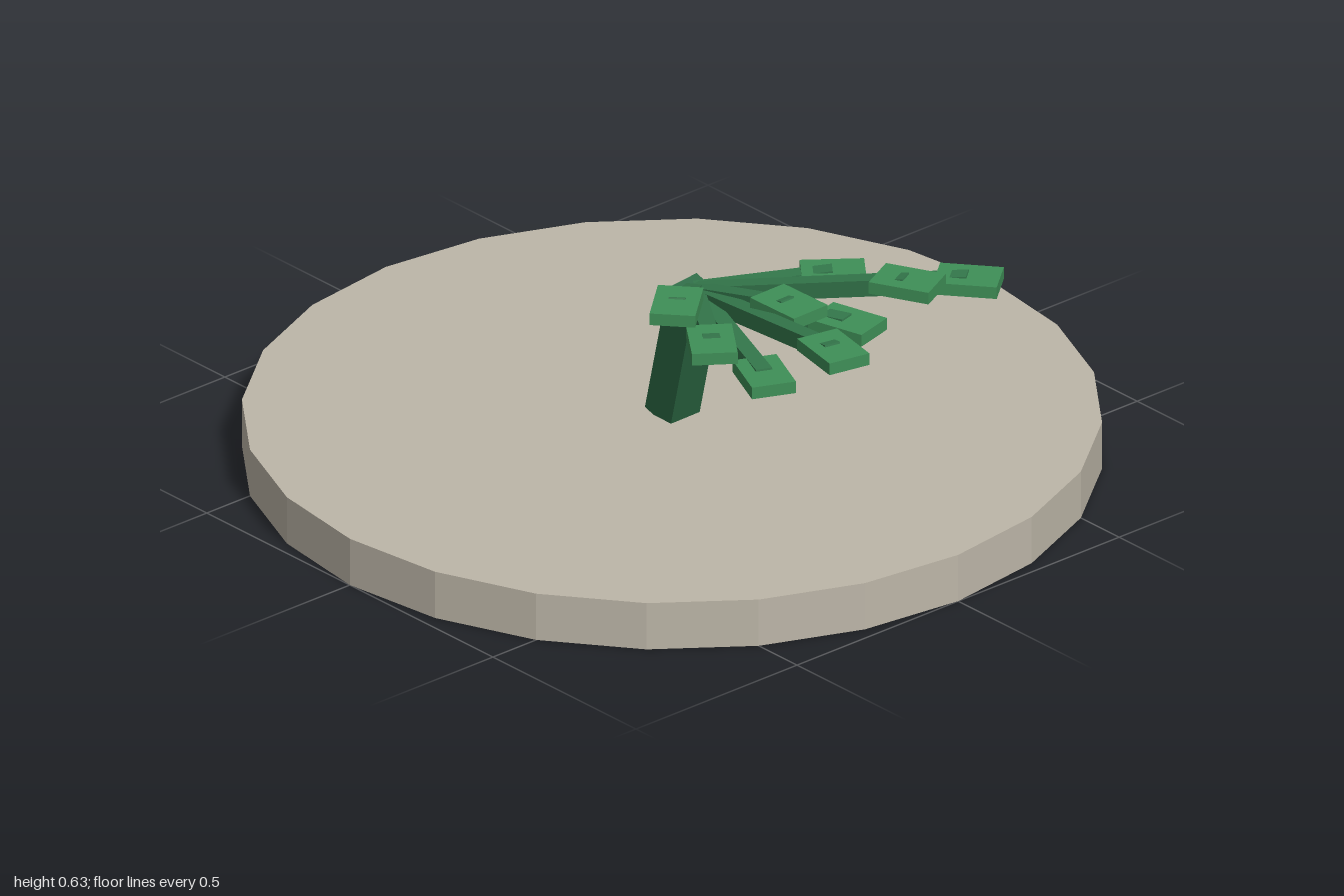
import * as THREE from 'three';

const paint = (color, side = THREE.FrontSide) =>
  new THREE.MeshStandardMaterial({ color, side, flatShading: true });

function addPart(parent, name, geometry, material) {
  const mesh = new THREE.Mesh(geometry, material);
  mesh.name = name;
  parent.add(mesh);
  return mesh;
}

// Square beam running from one point to another
function addBeam(parent, name, from, to, width, material) {
  const dir = to.clone().sub(from);
  const length = dir.length();
  const beam = addPart(parent, name, new THREE.BoxGeometry(width, length, width), material);
  beam.position.copy(from).addScaledVector(dir, 0.5);
  // turn about the vertical first, then lean, so thin branches keep level sides
  if (name === 'branch') {
    const yaw = Math.atan2(-dir.z, dir.x);
    beam.rotation.set(0, yaw, -Math.acos(dir.y / length), 'YXZ');
  } else {
    beam.quaternion.setFromUnitVectors(new THREE.Vector3(0, 1, 0), dir.normalize());
  }
}

export function createModel() {
  const model = new THREE.Group();
  const stone = paint(0xbdb6a8, THREE.DoubleSide);
  const bark = paint(0x2d6a45);
  const twig = paint(0x357a4d);
  const leaf = paint(0x3f8f57);

  // Round base, hollow underneath
  const height = 0.12;
  const wall = addPart(model, 'baseWall', new THREE.CylinderGeometry(1, 1, height, 24, 1, true), stone);
  wall.position.y = height / 2;
  const disc = new THREE.CircleGeometry(1, 24).rotateX(-Math.PI / 2);
  addPart(model, 'baseTop', disc, stone).position.y = height;
  const under = new THREE.CircleGeometry(0.998, 24).rotateX(Math.PI / 2);
  addPart(model, 'baseUnderside', under, paint(0x3c5229)).position.y = height - 0.003;

  // Leaning trunk
  const crown = new THREE.Vector3(0.127, 0.49, 0.043);
  addBeam(model, 'trunk', new THREE.Vector3(0, height, 0), crown, 0.09, bark);

  // Fan of branches, each ending in a flat leaf pad; heights repeat in threes
  const levels = [0.525, 0.57, 0.612];
  const tips = [
    [0.327, -0.21], [0.625, -0.365], [0.605, -0.193],
    [0.54, -0.065], [0.45, 0.037], [0.755, 0.17],
    [0.615, 0.26], [0.477, 0.30], [0.337, 0.285],
  ];
  tips.forEach(([x, z], i) => {
    const tip = new THREE.Vector3(x, levels[i % 3], z);
    const branch = new THREE.Group();
    branch.name = 'leafBranch';
    addBeam(branch, 'branch', crown, tip, 0.04, twig);
    const pad = addPart(branch, 'leafPad', new THREE.BoxGeometry(0.15, 0.03, 0.107), leaf);
    pad.position.copy(tip);
    pad.rotation.y = Math.atan2(crown.z - z, x - crown.x);
    model.add(branch);
  });

  return model;
}
